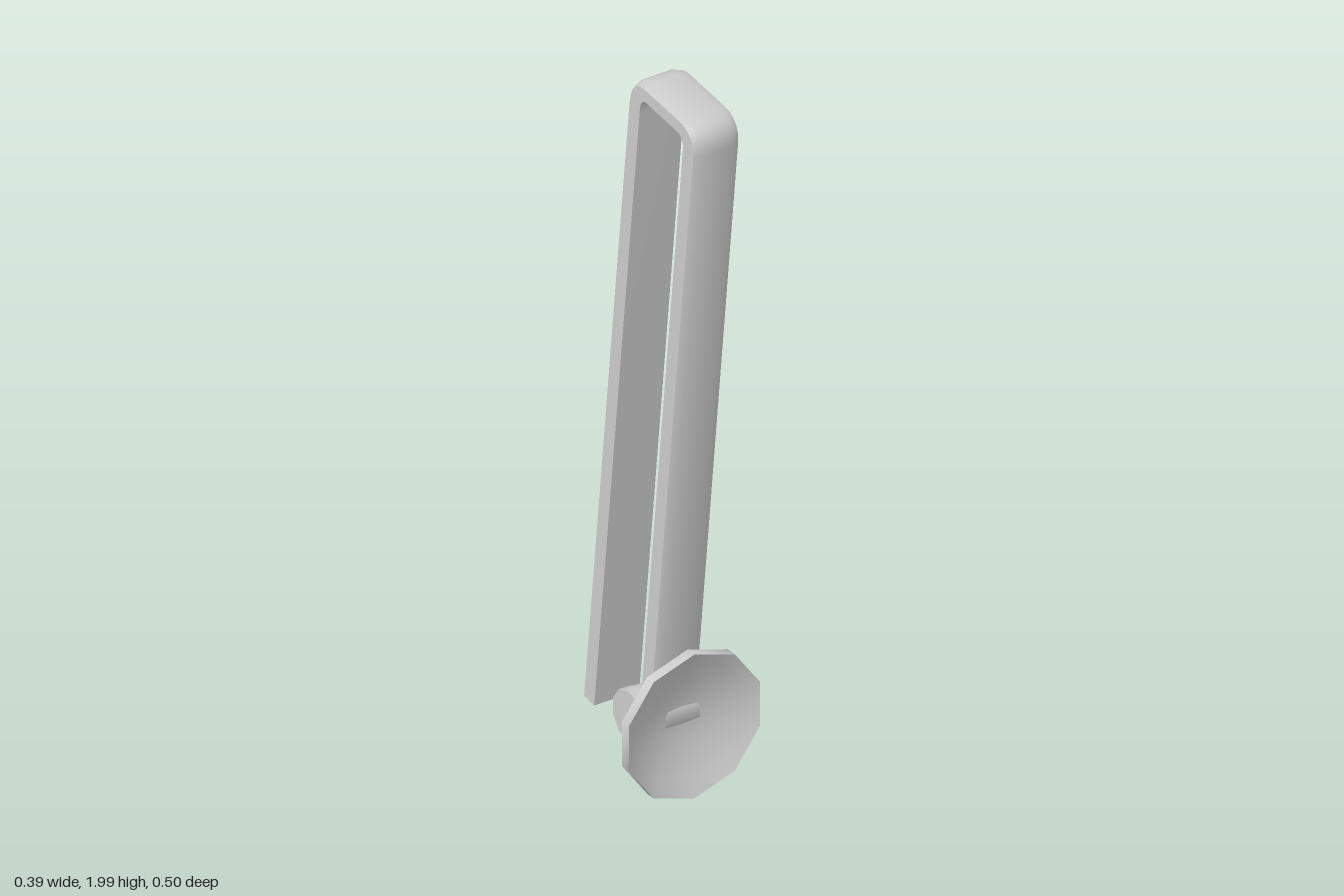
import * as THREE from 'three';
import { toCreasedNormals } from 'three/addons/utils/BufferGeometryUtils.js';

const SIDES = 10;
const HINGE_Y = 0.217, HINGE_Z = 0.029;
const material = new THREE.MeshStandardMaterial({ color: 0xcccccc });

function addMesh(group, name, geometry) {
  const mesh = new THREE.Mesh(geometry, material);
  mesh.name = name;
  group.add(mesh);
  return mesh;
}

// Side profile as [z, y]: straight legs with a rounded corner at each bend
function bentProfile(start, bendA, bendB, end) {
  const v = ([z, y]) => new THREE.Vector2(z, y);
  const bend = (pts) => new THREE.QuadraticBezierCurve(...pts.map(v)).getPoints(5);
  return [v(start), ...bend(bendA), ...bend(bendB), v(end)];
}

// Flat bar swept along the profile, with bevelled outer edges
function strapGeometry() {
  const outer = bentProfile([0.069, 0.27],
    [[0.25, 1.9], [0.254, 1.972], [0.185, 1.981]],
    [[0.025, 1.999], [-0.041, 2.008], [-0.049, 1.91]], [-0.246, 0.135]);
  const inner = bentProfile([0.015, 0.27],
    [[0.195, 1.9], [0.199, 1.938], [0.168, 1.941]],
    [[0.036, 1.956], [0.007, 1.958], [0.006, 1.91]], [-0.192, 0.127]);
  // Each corner: x and how far it lies from inner (0) to outer (1)
  const section = [[-0.067, 0], [0.067, 0], [0.067, 0.82], [0.045, 1], [-0.045, 1], [-0.067, 0.82]];
  const n = section.length, positions = [], index = [];
  outer.forEach((o, i) => {
    for (const [x, t] of section) {
      const p = inner[i].clone().lerp(o, t);
      positions.push(x, p.y, p.x);
    }
  });
  for (let i = 0; i < outer.length - 1; i++) {
    for (let j = 0; j < n; j++) {
      const a = i * n + j, b = i * n + (j + 1) % n;
      index.push(a, a + n, b, b, a + n, b + n);
    }
  }
  const last = (outer.length - 1) * n;
  for (let j = 1; j < n - 1; j++) {
    index.push(0, j, j + 1, last, last + j + 1, last + j);
  }
  const geometry = new THREE.BufferGeometry();
  geometry.setAttribute('position', new THREE.Float32BufferAttribute(positions, 3));
  geometry.setIndex(index);
  return toCreasedNormals(geometry, 0.7);
}

// Hollow-fronted disc with a bevelled back edge
function dishGeometry() {
  const profile = [[0, 0.09], [0.178, 0.09], [0.205, 0.117], [0.205, 0.147]];
  for (const r of [0.165, 0.12, 0.07, 0]) {
    profile.push([r, 0.0905 + 0.0565 * (r / 0.205) ** 2]);
  }
  const geometry = new THREE.LatheGeometry(profile.map(([r, z]) => new THREE.Vector2(r, z)), SIDES);
  geometry.rotateX(Math.PI / 2);
  return toCreasedNormals(geometry, 0.7);
}

// Cylinder lying along x
function barGeometry(radius, length) {
  return new THREE.CylinderGeometry(radius, radius, length, SIDES).rotateY(Math.PI / 2).rotateZ(Math.PI / 2);
}

export function createModel() {
  const model = new THREE.Group();
  model.name = 'hingedHandle';

  addMesh(model, 'strap', strapGeometry());
  addMesh(model, 'dish', dishGeometry()).position.y = 0.21;

  // Hinge: barrel, pin and two end caps
  const hinge = new THREE.Group();
  hinge.name = 'hinge';
  hinge.position.set(0, HINGE_Y, HINGE_Z);
  addMesh(hinge, 'barrel', barGeometry(0.07, 0.146));
  addMesh(hinge, 'pin', barGeometry(0.02, 0.2));
  for (const side of [-1, 1]) {
    const name = side > 0 ? 'leftCap' : 'rightCap';
    addMesh(hinge, name, barGeometry(0.073, 0.038)).position.x = side * 0.096;
  }
  model.add(hinge);
  return model;
}
